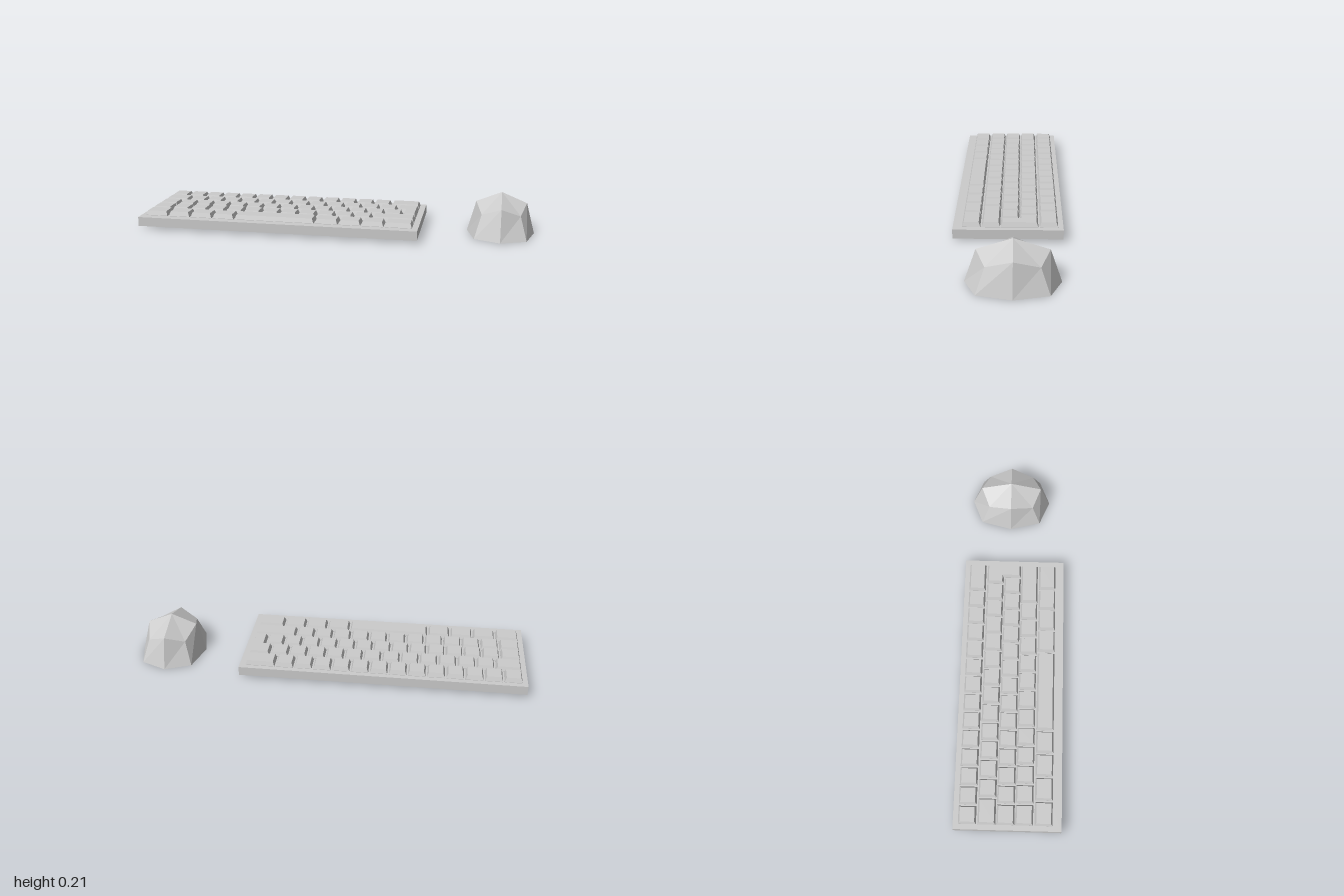
import * as THREE from 'three';

const material = new THREE.MeshStandardMaterial({ color: 0xcccccc, flatShading: true });
const openMaterial = new THREE.MeshStandardMaterial({ color: 0xcccccc, flatShading: true, side: THREE.DoubleSide });

// Tapered keycap from a plan outline of [x, z] corners
function keycap(outline, name) {
  const shape = new THREE.Shape(outline.map(([x, z]) => new THREE.Vector2(x, -z)));
  const geometry = new THREE.ExtrudeGeometry(shape, {
    depth: 0.01, bevelThickness: 0.022, bevelSize: 0.008, bevelOffset: -0.008, bevelSegments: 1,
  });
  geometry.rotateX(-Math.PI / 2).translate(0, 0.054, 0);
  const mesh = new THREE.Mesh(geometry, material);
  mesh.name = name;
  return mesh;
}

function createKeyboard() {
  const keyboard = new THREE.Group();
  keyboard.name = 'keyboard';

  const body = new THREE.Mesh(new THREE.BoxGeometry(1.435, 0.047, 0.531), material);
  body.name = 'keyboardCase';
  body.position.set(-0.2825, 0.0385, 0.001);
  keyboard.add(body);

  // Each row: [centre z, x edges between neighbouring keys]
  const even = (from, to, n) => Array.from({ length: n + 1 }, (_, i) => from + ((to - from) * i) / n);
  const L = -0.978, R = 0.409;
  const rows = [
    [-0.195, [...even(L, 0.253, 13), R]],
    [-0.1, [L, ...even(-0.845, 0.297, 12)]],
    [-0.008, [L, ...even(-0.873, 0.334, 13)]],
    [0.083, [L, ...even(-0.871, 0.19, 11), R]],
    [0.178, [L, -0.855, -0.737, -0.619, -0.502, -0.085, 0.037, 0.152, 0.268, R]],
  ];
  const gap = 0.004, half = 0.044;
  rows.forEach(([z, edges], r) => {
    for (let i = 0; i < edges.length - 1; i++) {
      const a = edges[i] + gap, b = edges[i + 1] - gap;
      const name = r === 4 && i === 4 ? 'spaceBar' : 'key';
      keyboard.add(keycap([[a, z + half], [b, z + half], [b, z - half], [a, z - half]], name));
    }
  });

  // Stepped key spanning the second and third rows
  keyboard.add(keycap([
    [0.338, 0.036], [R - gap, 0.036], [R - gap, -0.144],
    [0.301, -0.144], [0.301, -0.056], [0.338, -0.056],
  ], 'enterKey'));
  return keyboard;
}

// Faceted open-bottomed dome: base ring, shoulder ring and apex
function createMouse() {
  const ring = (mx, mz, my, cx, cz, cy) => [
    [mx, my, 0], [cx, cy, cz], [0, my, mz], [-cx, cy, cz],
    [-mx, my, 0], [-cx, cy, -cz], [0, my, -mz], [cx, cy, -cz],
  ];
  const base = ring(0.168, 0.213, 0, 0.128, 0.16, 0);
  const shoulder = ring(0.126, 0.161, 0.155, 0.095, 0.119, 0.116);
  const apex = [0, 0.207, 0];
  const points = [];
  const quad = (a, b, c, d) => points.push(...a, ...b, ...c, ...a, ...c, ...d);
  for (let i = 0; i < 8; i++) {
    const j = (i + 1) % 8;
    quad(base[j], base[i], shoulder[i], shoulder[j]);
    if (i % 2 === 0) quad(apex, shoulder[(i + 2) % 8], shoulder[j], shoulder[i]);
  }
  const geometry = new THREE.BufferGeometry();
  geometry.setAttribute('position', new THREE.Float32BufferAttribute(points, 3));
  geometry.computeVertexNormals();
  const mouse = new THREE.Mesh(geometry, openMaterial);
  mouse.name = 'mouse';
  mouse.position.set(0.832, 0, -0.028);
  return mouse;
}

export function createModel() {
  const model = new THREE.Group();
  model.name = 'keyboardAndMouse';
  model.add(createKeyboard(), createMouse());
  return model;
}
